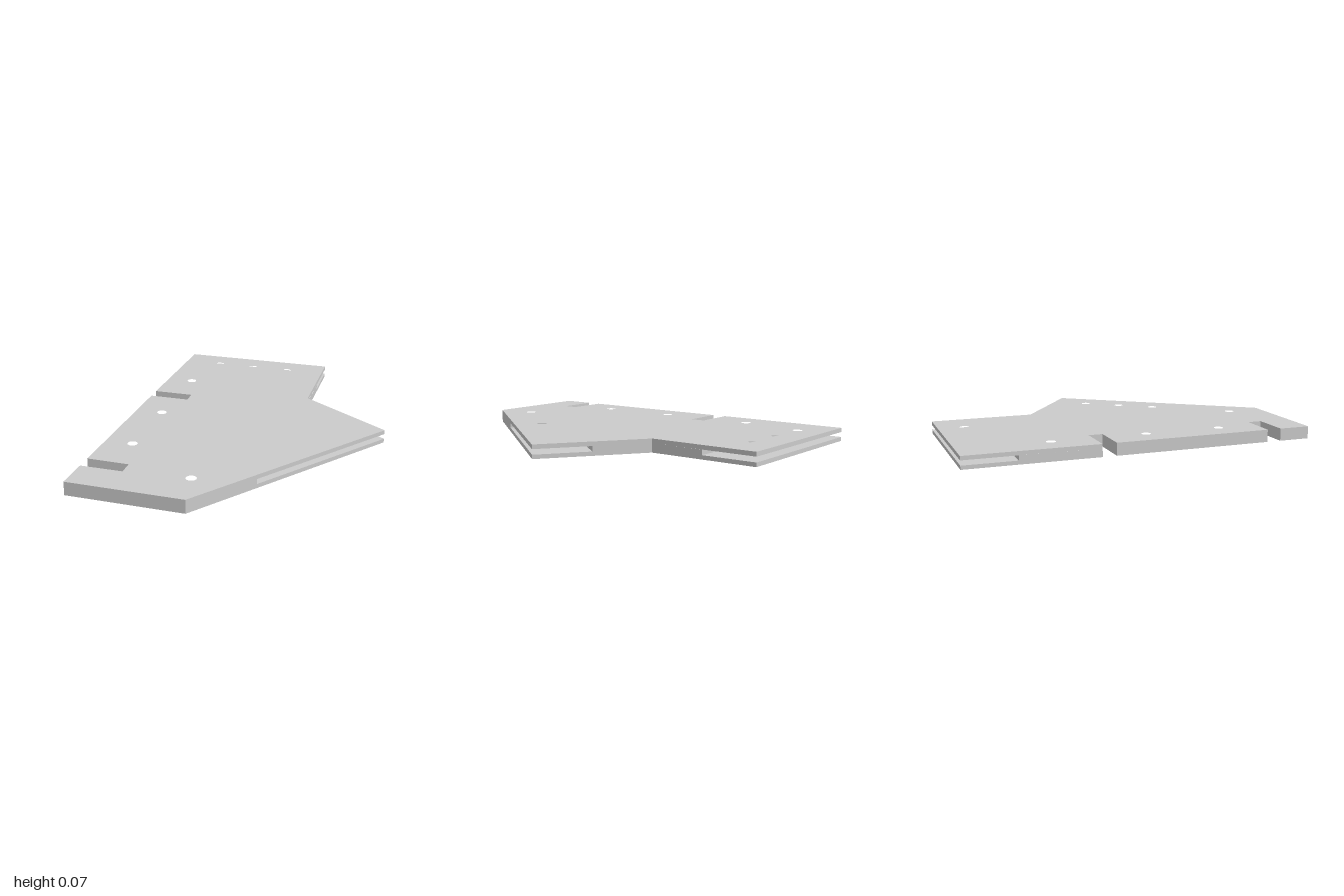
import * as THREE from 'three';

const Y = [0, 0.02, 0.045, 0.066]; // bottom, groove floor, groove ceiling, top
const R = 0.025;

// Outline shared by all layers: notched long edge, as [x, z]
const notchedEdge = [
  [-0.673, 0.773], [-1, 0.32], [-0.863, 0.221], [-0.741, 0.387], [-0.68, 0.343], [-0.8, 0.175],
  [-0.115, -0.325], [0.008, -0.157], [0.068, -0.203], [-0.055, -0.369],
];
const armEnd = [[0.51, -0.775], [1, -0.107]];
const armInner = [[0.285, -0.614], [0.775, 0.057]];
const corner = [0.547, 0.22];
const frontCorner = [0.547, 0.773];
const grooveFront = [[0.547, 0.5], [-0.283, 0.5], [-0.283, 0.773]];

const bodyHoles = [[-0.535, 0.625], [-0.542, 0.157], [-0.206, -0.088], [0.206, -0.387]];
const armHoles = [[0.52, -0.528], [0.643, -0.36], [0.766, -0.192]];
const frontHoles = [[-0.072, 0.634], [0.137, 0.634], [0.345, 0.634]];

function makeShape(points, holes) {
  const shape = new THREE.Shape(points.map(([x, z]) => new THREE.Vector2(x, -z)));
  for (const [x, z] of holes) {
    shape.holes.push(new THREE.Path().absarc(x, -z, R, 0, Math.PI * 2, true));
  }
  return shape;
}

// Side walls of a layer, without its lids
function walls(shape, y0, y1) {
  const full = new THREE.ExtrudeGeometry(shape, { depth: y1 - y0, bevelEnabled: false, curveSegments: 24 });
  const { start, count } = full.groups[1];
  const geo = new THREE.BufferGeometry();
  const pos = full.attributes.position.array.slice(start * 3, (start + count) * 3);
  geo.setAttribute('position', new THREE.BufferAttribute(pos, 3));
  geo.computeVertexNormals();
  return geo.rotateX(-Math.PI / 2).translate(0, y0, 0);
}

// Flat face at height y, looking up or down
function face(shape, y, up) {
  const geo = new THREE.ShapeGeometry(shape, 24);
  if (!up) {
    geo.index.array.reverse();
    geo.computeVertexNormals();
  }
  return geo.rotateX(-Math.PI / 2).translate(0, y, 0);
}

export function createModel() {
  const group = new THREE.Group();
  group.name = 'gussetPlate';
  const material = new THREE.MeshStandardMaterial({ color: 0xcccccc });
  const add = (name, geo) => {
    const mesh = new THREE.Mesh(geo, material);
    mesh.name = name;
    group.add(mesh);
  };

  const plate = makeShape([...notchedEdge, ...armEnd, corner, frontCorner],
    [...bodyHoles, ...armHoles, ...frontHoles]);
  const core = makeShape([...notchedEdge, ...armInner, corner, ...grooveFront], bodyHoles);
  const grooves = {
    armGroove: makeShape([...armEnd, armInner[1], armInner[0]], armHoles),
    frontGroove: makeShape([...grooveFront, frontCorner], frontHoles),
  };

  // Outer skins and the recessed core between them
  add('lowerEdge', walls(plate, Y[0], Y[1]));
  add('coreEdge', walls(core, Y[1], Y[2]));
  add('upperEdge', walls(plate, Y[2], Y[3]));
  add('topFace', face(plate, Y[3], true));
  add('bottomFace', face(plate, Y[0], false));

  // Inside faces of the two edge grooves
  for (const [name, shape] of Object.entries(grooves)) {
    add(name + 'Floor', face(shape, Y[1], true));
    add(name + 'Ceiling', face(shape, Y[2], false));
  }
  return group;
}
